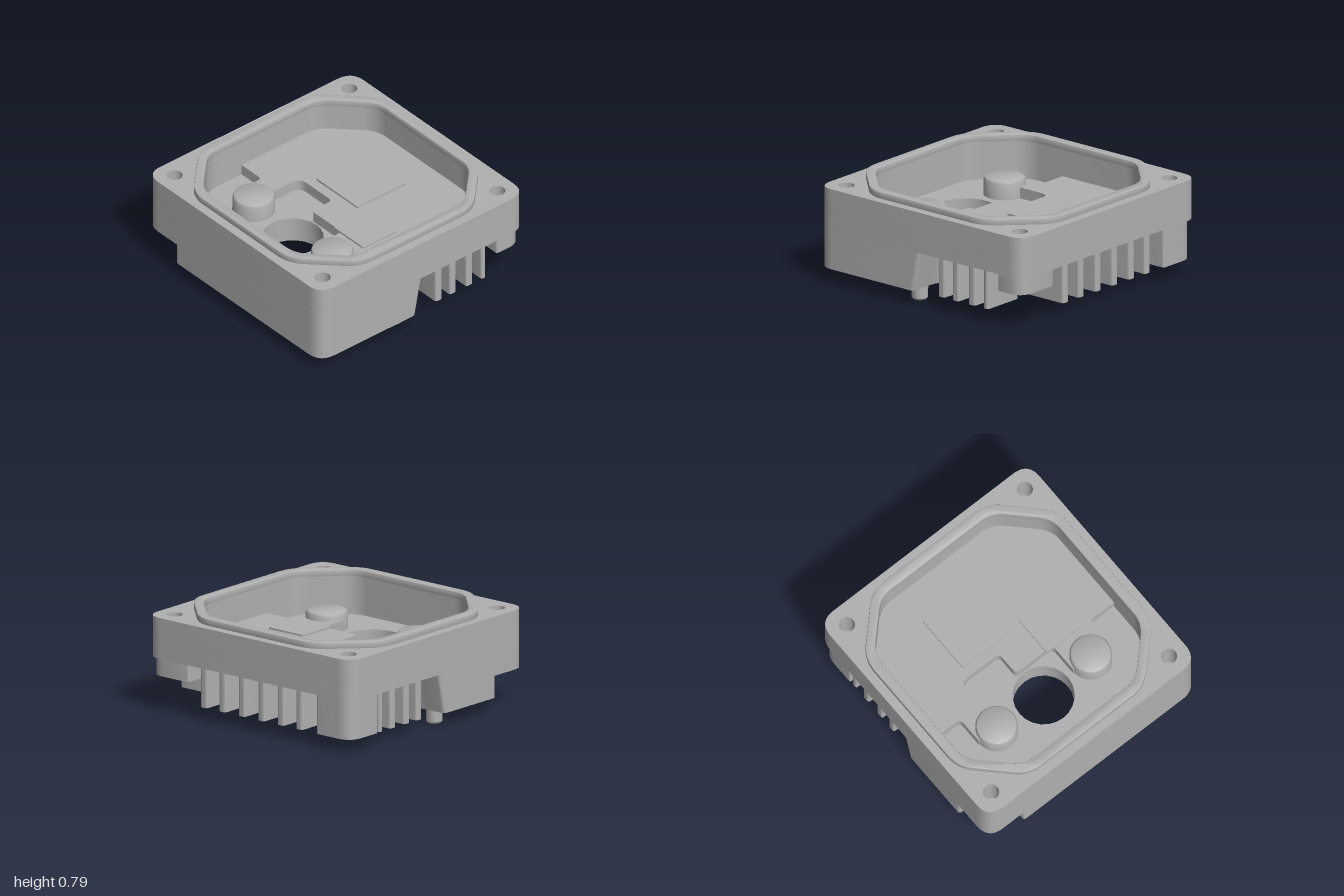
import * as THREE from 'three';
import { toCreasedNormals } from 'three/addons/utils/BufferGeometryUtils.js';

const castMetal = new THREE.MeshStandardMaterial({ color: 0xb0b0b0 });
castMetal.name = 'castMetal';

// closed outline in x/z with rounded corners; a point is [x, z, optional radius]
function outline(points, radius = 0, Type = THREE.Shape) {
  const path = new Type();
  const n = points.length;
  points.forEach((p, i) => {
    const v = new THREE.Vector2(p[0], p[1]);
    const a = new THREE.Vector2(...points[(i + n - 1) % n].slice(0, 2)).sub(v);
    const b = new THREE.Vector2(...points[(i + 1) % n].slice(0, 2)).sub(v);
    const d = Math.min(p[2] ?? radius, a.length() / 2, b.length() / 2);
    const s = v.clone().addScaledVector(a.normalize(), d);
    const e = v.clone().addScaledVector(b.normalize(), d);
    if (i === 0) path.moveTo(s.x, s.y); else path.lineTo(s.x, s.y);
    if (d > 0) path.quadraticCurveTo(v.x, v.y, e.x, e.y);
  });
  path.closePath();
  return path;
}

function circle(x, z, r) {
  const path = new THREE.Path();
  path.absarc(x, z, r, 0, Math.PI * 2, true);
  return path;
}

const rect = (x0, z0, x1, z1) => [[x0, z0], [x1, z0], [x1, z1], [x0, z1]];
const octagon = (a, c) => [[-c, -a], [c, -a], [a, -c], [a, c], [c, a], [-c, a], [-a, c], [-a, -c]];

export function createModel() {
  const group = new THREE.Group();

  function add(name, geometry, x = 0, y = 0, z = 0) {
    const mesh = new THREE.Mesh(toCreasedNormals(geometry, 0.6), castMetal);
    mesh.name = name;
    mesh.position.set(x, y, z);
    group.add(mesh);
  }

  // horizontal slab between two heights, with optional holes and vertex rule
  function slab(name, shape, y0, y1, holes = [], rule = null, bevel = 0) {
    shape.holes.push(...holes);
    const g = new THREE.ExtrudeGeometry(shape, {
      depth: y1 - y0 - 2 * bevel, curveSegments: 12, bevelEnabled: bevel > 0,
      bevelSize: bevel, bevelThickness: bevel, bevelOffset: -bevel, bevelSegments: 2,
    });
    g.rotateX(Math.PI / 2).translate(0, y1 - bevel, 0);
    if (rule) {
      const p = g.attributes.position;
      for (let i = 0; i < p.count; i++) p.setX(i, rule(p.getX(i), p.getY(i)));
    }
    add(name, g);
  }

  const square = () => outline(rect(-1, -1, 1, 1), 0.14);
  const corners = [[-1, -1], [1, -1], [1, 1], [-1, 1]];
  const screwHoles = () => corners.map(([x, z]) => circle(x * 0.85, z * 0.85, 0.06));
  const cavity = () => outline(octagon(0.85, 0.53), 0.1, THREE.Path);
  const bore = () => circle(-0.42, 0, 0.23);

  // upper housing: sealing rim, cavity wall, stepped floor
  slab('sealingRim', outline(octagon(0.93, 0.55), 0.12), 0.725, 0.785, [cavity()], null, 0.008);
  slab('housingWall', square(), 0.525, 0.735, [cavity(), ...screwHoles()]);
  const lowFloor = outline([
    [-0.2, -0.85, 0], [-0.2, -0.62], [-0.42, -0.62, 0], [-0.42, -0.44, 0], [0.02, -0.44, 0.08],
    [0.02, -0.07], [-0.18, -0.07], [-0.18, 0.28], [-0.42, 0.28, 0], [-0.42, 0.62, 0],
    [-0.2, 0.62], [-0.2, 0.85, 0], [-0.53, 0.85, 0.1], [-0.85, 0.53, 0.1],
    [-0.85, -0.53, 0.1], [-0.53, -0.85, 0.1]], 0.04, THREE.Path);
  slab('raisedFloor', square(), 0.44, 0.525, [lowFloor, ...screwHoles()]);
  slab('basePlate', square(), 0.42, 0.44, [bore()]);
  slab('largePad', outline(rect(0.1, -0.35, 0.58, 0.13), 0.015), 0.515, 0.54);
  slab('smallPad', outline(rect(-0.2, 0.21, 0.13, 0.55), 0.015), 0.515, 0.54);

  // round bosses on the cavity floor and locating pins underneath
  const profile = (pts) => new THREE.LatheGeometry(pts.map(([r, y]) => new THREE.Vector2(r, y)), 40);
  for (const s of [-1, 1]) {
    add('floorBoss', profile([[0.16, 0.43], [0.158, 0.555], [0.15, 0.574], [0.132, 0.585], [0, 0.585]]),
      -0.42, 0, s * 0.45);
    add('locatingPin', profile([[0, 0], [0.05, 0], [0.062, 0.015], [0.066, 0.3]]), -0.14, 0, s * 0.84);
  }

  // mounting block below the cavity, cut away at one rear corner
  const flank = [[-0.07, -1, 0.03], [-0.07, -0.72], [0.12, -0.4], [0.12, 0.4], [-0.07, 0.72],
    [-0.07, 1, 0.03], [-1, 1, 0.14]];
  const fullBlock = () => outline([[-1, -1, 0.14], ...flank], 0.12);
  const cutBlock = () => outline(
    [[-1, -0.66, 0.03], [-0.66, -0.66, 0.14], [-0.66, -1, 0.03], ...flank], 0.12);
  const draft = (x, y) => (x > -0.12 ? x + (y - 0.11) * 0.2 : x);
  const bolts = () => [-1, 1].map((s) => circle(-0.42, s * 0.45, 0.07));
  const cornerBore = (x, z) => circle(x * 0.85, z * 0.85, 0.075);
  slab('blockTop', fullBlock(), 0.28, 0.42,
    [bore(), ...bolts(), cornerBore(-1, 1), cornerBore(-1, -1)], draft);
  slab('blockMiddle', cutBlock(), 0.24, 0.28, [bore(), ...bolts(), cornerBore(-1, 1)], draft);
  const recess = outline([[-0.82, -0.13], [-0.55, -0.84], [-0.28, -0.84], [0, -0.13],
    [0, 0.13], [-0.28, 0.84], [-0.55, 0.84], [-0.82, 0.13]], 0.12, THREE.Path);
  slab('blockBottom', cutBlock(), 0.11, 0.24, [recess, cornerBore(-1, 1)], draft);

  // corner posts on the finned side
  slab('shortCornerPost', outline([[0.74, 0.61, 0.08], [0.975, 0.61, 0.02], [0.975, 0.975, 0.13],
    [0.74, 0.975, 0.02]]), 0.28, 0.42, [cornerBore(1, 1)]);
  slab('tallCornerPost', outline([[0.66, -0.64, 0.08], [0.975, -0.64, 0.02], [0.975, -0.975, 0.13],
    [0.66, -0.975, 0.02]]), 0.11, 0.42, [cornerBore(1, -1)]);

  // cooling fins: straight in the middle, bent around the corner posts
  const h = 0.032;
  for (const z of [-0.095, 0.095]) {
    slab('straightFin', outline(rect(0.27, z - h, 0.97, z + h), 0.02), 0.11, 0.42);
  }
  for (const s of [-1, 1]) {
    for (const [x, z] of [[0.48, 0.465], [0.32, 0.285]]) {
      slab('bentFin', outline([[0.97, s * (z + h)], [x + h, s * (z + h), 0.08], [x + h, s * 0.97],
        [x - h, s * 0.97], [x - h, s * (z - h), 0.14], [0.97, s * (z - h)]], 0.02), 0.11, 0.42);
    }
    slab('sideFin', outline(rect(0.15, s * 0.97, 0.15 + 2 * h, s * 0.55), 0.02), 0.11, 0.42);
    slab('postFin', outline(rect(0.595, s * 0.97, 0.595 + 1.4 * h, s * 0.62), 0.02), 0.11, 0.42);
  }

  return group;
}
